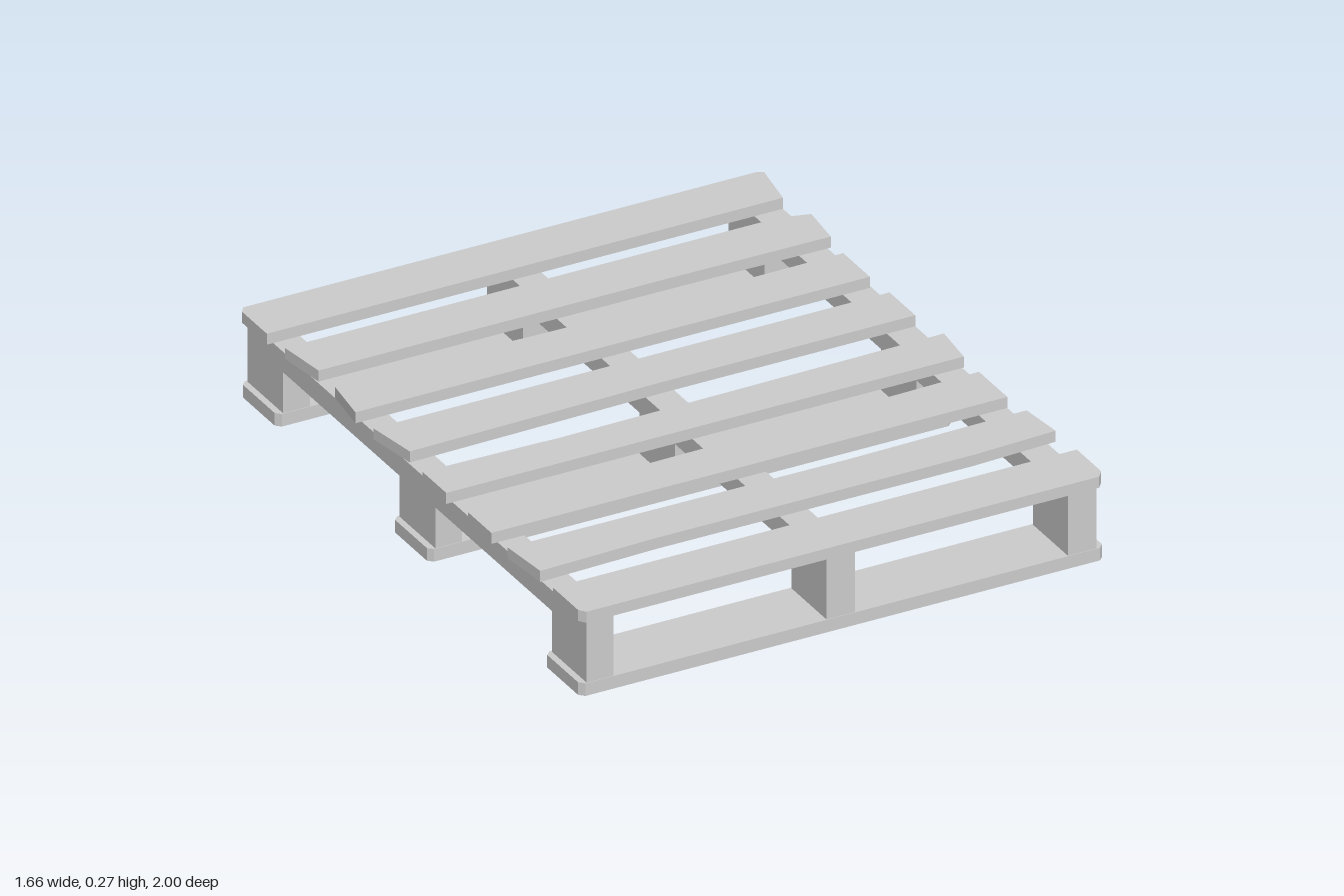
import * as THREE from 'three';

const material = new THREE.MeshStandardMaterial({ color: 0xcccccc, flatShading: true });

// Plank from an [x, z] outline, lying between two heights
function plank(name, outline, bottom, top) {
  const shape = new THREE.Shape(outline.map(([x, z]) => new THREE.Vector2(x, -z)));
  const geometry = new THREE.ExtrudeGeometry(shape, { depth: top - bottom, bevelEnabled: false });
  geometry.rotateX(-Math.PI / 2).translate(0, bottom, 0);
  const mesh = new THREE.Mesh(geometry, material);
  mesh.name = name;
  return mesh;
}

function box(name, x0, x1, y0, y1, z0, z1) {
  const mesh = new THREE.Mesh(new THREE.BoxGeometry(x1 - x0, y1 - y0, z1 - z0), material);
  mesh.position.set((x0 + x1) / 2, (y0 + y1) / 2, (z0 + z1) / 2);
  mesh.name = name;
  return mesh;
}

// Uneven outlines of the deck boards, back to front
const deckOutlines = [
  [[-0.83, -0.98], [-0.815, -1], [0.81, -1], [0.83, -0.99], [0.805, -0.835], [-0.83, -0.835]],
  [[-0.825, -0.74], [0.745, -0.74], [0.83, -0.715], [0.815, -0.575], [0.3, -0.58], [-0.805, -0.58]],
  [[-0.81, -0.475], [-0.39, -0.475], [0.03, -0.465], [0.4, -0.472], [0.8, -0.475], [0.8, -0.32], [-0.83, -0.32]],
  [[-0.83, -0.215], [0.805, -0.215], [0.805, -0.065], [0, -0.065], [-0.805, -0.05]],
  [[-0.83, 0.07], [-0.39, 0.08], [0.825, 0.065], [0.81, 0.208], [-0.83, 0.208]],
  [[-0.83, 0.335], [-0.02, 0.325], [0.805, 0.305], [0.805, 0.47], [-0.83, 0.47]],
  [[-0.83, 0.565], [0.24, 0.573], [0.815, 0.563], [0.83, 0.705], [0.56, 0.718], [-0.44, 0.715], [-0.815, 0.727]],
  [[-0.83, 0.828], [0.83, 0.828], [0.83, 0.97], [0.81, 0.995], [-0.815, 0.995], [-0.83, 0.975]],
];

// Base board with clipped corners
function baseOutline(z0, z1) {
  const w = 0.83, c = 0.015;
  return [[-w, z0 + c], [-w + c, z0], [w - c, z0], [w, z0 + c],
    [w, z1 - c], [w - c, z1], [-w + c, z1], [-w, z1 - c]];
}

export function createModel() {
  const pallet = new THREE.Group();
  pallet.name = 'pallet';

  deckOutlines.forEach((outline, i) => pallet.add(plank(`deckBoard${i + 1}`, outline, 0.235, 0.27)));

  const rows = [[-0.99, -0.775], [-0.105, 0.11], [0.78, 0.99]];
  rows.forEach(([z0, z1], i) => pallet.add(plank(`baseBoard${i + 1}`, baseOutline(z0, z1), 0, 0.04)));

  // Stringers along the depth, each on three blocks
  const columns = [[-0.81, -0.725], [-0.05, 0.04], [0.715, 0.805]];
  columns.forEach(([x0, x1], i) => {
    pallet.add(box(`stringer${i + 1}`, x0, x1, 0.17, 0.235, -0.985, 0.988));
    rows.forEach(([z0, z1], j) => {
      pallet.add(box(`block${i + 1}${j + 1}`, x0, x1, 0.04, 0.17, z0 + 0.005, z1 - 0.002));
    });
  });

  return pallet;
}
